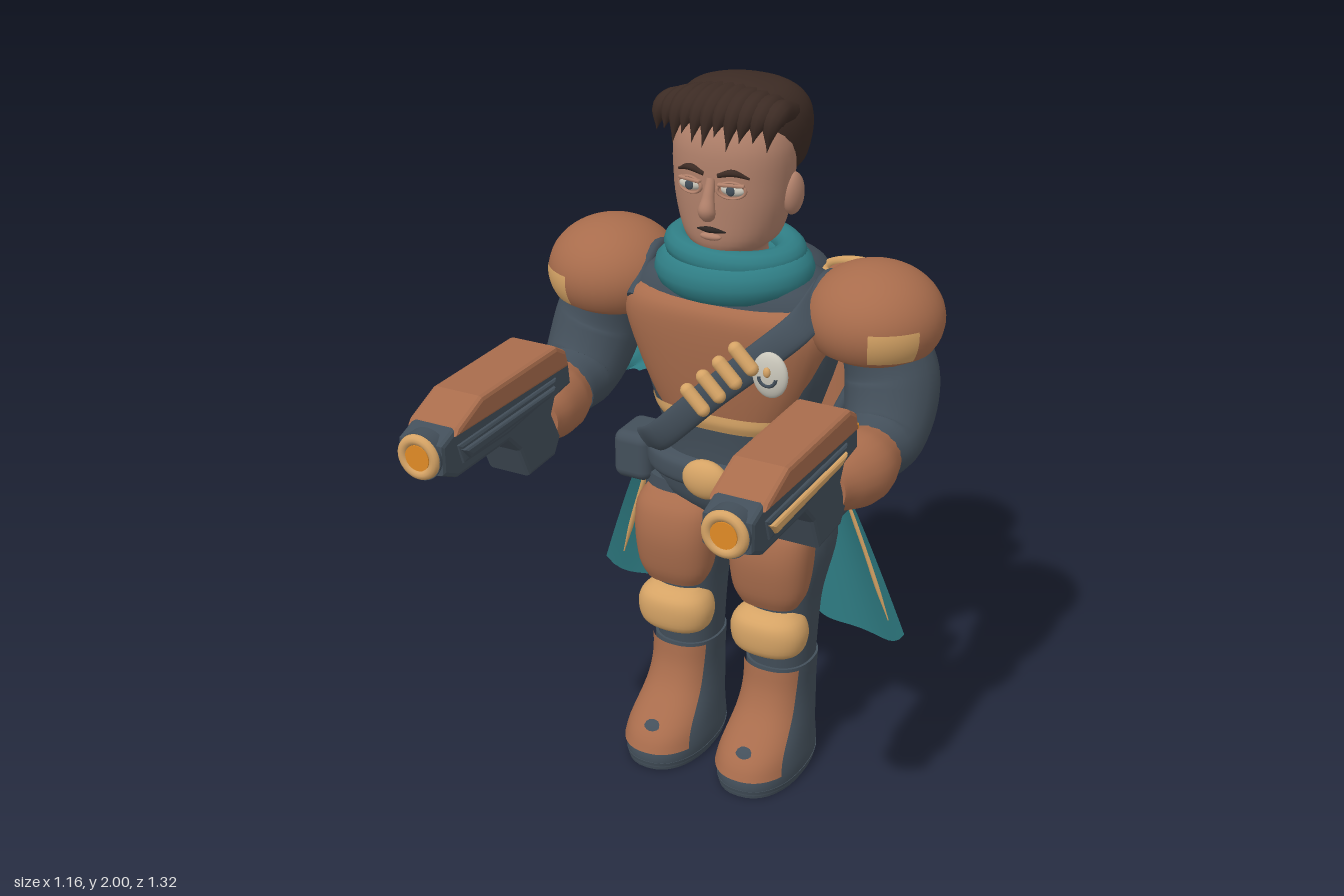
import * as THREE from 'three';
import { toCreasedNormals } from 'three/addons/utils/BufferGeometryUtils.js';
import { RoundedBoxGeometry } from 'three/addons/geometries/RoundedBoxGeometry.js';

const V = (x, y, z) => new THREE.Vector3(x, y, z);
const mat = (color, side = THREE.FrontSide) => new THREE.MeshStandardMaterial({ color, side });
const rust = mat(0xa86c4c), dark = mat(0x434f5a), gold = mat(0xd5a365), teal = mat(0x2f7d84, THREE.DoubleSide);
const skin = mat(0xb0806a), hair = mat(0x3c2b24), glow = mat(0xe08a25), silver = mat(0xc9c6ba), black = mat(0x2a2422);
const rustSheet = mat(0xa86c4c, THREE.DoubleSide), goldSheet = mat(0xd5a365, THREE.DoubleSide);

// Grid surface from f(u, v), with sharp edges kept
function surface(nu, nv, f) {
  const pos = [], idx = [];
  for (let i = 0; i <= nu; i++) for (let j = 0; j <= nv; j++) pos.push(...f(i / nu, j / nv).multiplyScalar(100).toArray());
  for (let i = 0; i < nu; i++) for (let j = 0; j < nv; j++) {
    const a = i * (nv + 1) + j, b = a + nv + 1;
    idx.push(a, a + 1, b, b, a + 1, b + 1);
  }
  const g = new THREE.BufferGeometry();
  g.setAttribute('position', new THREE.Float32BufferAttribute(pos, 3));
  g.setIndex(idx);
  return toCreasedNormals(g, 0.9).scale(0.01, 0.01, 0.01);
}

// Superellipse rings [y, centreZ, radiusX, radiusZ] stacked upwards; half < PI gives an open front plate
function loft(rings, n = 2.3, half = Math.PI) {
  const cols = [0, 1, 2, 3].map(k => new THREE.SplineCurve(rings.map((r, i) => new THREE.Vector2(i, r[k]))));
  const steps = (rings.length - 1) * 4, closed = half === Math.PI, extra = closed ? 1 : 0, rows = steps + 2 * extra;
  const pw = c => Math.sign(c) * Math.abs(c) ** (2 / n);
  return surface(rows, 36, (u, v) => {
    const i = Math.round(u * rows) - extra, t = THREE.MathUtils.clamp(i / steps, 0, 1);
    const [y, cz, rx, rz] = cols.map(c => c.getPoint(t).y), k = i < 0 || i > steps ? 0 : 1;
    const a = -Math.PI / 2 + half * (2 * v - 1);
    return V(k * rx * pw(Math.cos(a)), y, cz - k * rz * pw(Math.sin(a)));
  });
}

// Round sweep along points with a radius at each point
function sweep(pts, radii, sides = 20, steps = 20) {
  const c = new THREE.CatmullRomCurve3(pts.map(p => V(...p)));
  const r = new THREE.SplineCurve(radii.map((x, i) => new THREE.Vector2(i, x)));
  const fr = c.computeFrenetFrames(steps);
  return surface(steps + 2, sides, (u, v) => {
    const k = Math.round(u * (steps + 2)) - 1, i = THREE.MathUtils.clamp(k, 0, steps);
    const rad = k !== i ? 0 : Math.max(r.getPoint(i / steps).y, 0), a = v * Math.PI * 2;
    return c.getPoint(i / steps).addScaledVector(fr.normals[i], rad * Math.cos(a)).addScaledVector(fr.binormals[i], rad * Math.sin(a));
  });
}

const ball = (rx, ry, rz) => new THREE.SphereGeometry(1, 32, 20).scale(rx, ry, rz);
const box = (x, y, z, r = 0.015) => new RoundedBoxGeometry(x, y, z, 3, r);
const cyl = (a, b, h) => new THREE.CylinderGeometry(a, b, h, 32);
const ring = (R, r) => new THREE.TorusGeometry(R, r, 12, 40);

function add(parent, name, geo, material, x = 0, y = 0, z = 0, rx = 0, ry = 0, rz = 0) {
  const m = new THREE.Mesh(geo, material);
  m.name = name;
  m.position.set(x, y, z);
  m.rotation.set(rx, ry, rz);
  parent.add(m);
  return m;
}
function part(parent, name) {
  const g = new THREE.Group();
  g.name = name;
  parent.add(g);
  return g;
}

// Side profile of [z, y] points, extruded across x
function profile(pts, width) {
  const b = 0.012, g = new THREE.ExtrudeGeometry(new THREE.Shape(pts.map(p => new THREE.Vector2(...p))),
    { depth: width - 2 * b, bevelSize: b, bevelThickness: b, bevelOffset: -b, bevelSegments: 2 });
  return g.translate(0, 0, b - width / 2).rotateY(-Math.PI / 2);
}

function buildTorso(body) {
  const g = part(body, 'torso');
  add(g, 'suit', loft([[0.86, -0.25, 0.2, 0.14], [1, -0.25, 0.2, 0.145], [1.12, -0.25, 0.235, 0.16], [1.3, -0.245, 0.29, 0.17], [1.45, -0.25, 0.28, 0.16], [1.53, -0.24, 0.14, 0.11]], 2.5), dark);
  add(g, 'chestPlate', loft([[1.06, -0.2, 0.17, 0.1], [1.2, -0.2, 0.24, 0.125], [1.35, -0.2, 0.295, 0.14], [1.42, -0.2, 0.28, 0.13], [1.45, -0.21, 0.24, 0.09]], 2.7), rust);
  add(g, 'chestBand', loft([[1.075, -0.2, 0.185, 0.112], [1.1, -0.2, 0.203, 0.122], [1.125, -0.2, 0.214, 0.122]], 2.7, 1.5), goldSheet);
  add(g, 'hips', loft([[0.77, -0.26, 0.1, 0.1], [0.83, -0.26, 0.22, 0.14], [0.92, -0.25, 0.23, 0.15]], 2.4), dark);
  add(g, 'belt', loft([[0.9, -0.25, 0.24, 0.175], [0.915, -0.25, 0.25, 0.185], [0.955, -0.25, 0.25, 0.185], [0.97, -0.25, 0.24, 0.175]], 2.5), dark);
  add(g, 'buckle', ball(0.068, 0.057, 0.035), gold, 0, 0.94, -0.06);
  for (const s of [-1, 1]) add(g, 'beltPouch', box(0.115, 0.145, 0.15, 0.03), dark, s * 0.285, 0.9, -0.222);
  // Bandolier across the chest with cartridges and a badge
  const strap = new THREE.CatmullRomCurve3([V(-0.23, 0.97, -0.15), V(-0.15, 1.03, -0.08), V(0.02, 1.2, -0.045), V(0.17, 1.34, -0.05), V(0.25, 1.42, -0.1), V(0.26, 1.47, -0.23)]);
  const across = V(0.707, -0.707, 0);
  add(g, 'bandolier', surface(30, 20, (u, v) => {
    const a = -v * Math.PI * 2;
    return strap.getPoint(u).addScaledVector(across, 0.042 * Math.cos(a)).add(V(0, 0, 0.017 * Math.sin(a)));
  }), mat(0x434f5a, THREE.DoubleSide));
  for (let i = 0; i < 4; i++) add(g, 'cartridge', new THREE.CapsuleGeometry(0.019, 0.065, 6, 14), gold, 0.0 + i * 0.046, 1.2 + i * 0.048, 0, 0, 0, Math.PI / 4);
  add(g, 'badge', ball(0.05, 0.063, 0.02), silver, 0.2, 1.3, -0.03);
  add(g, 'badgeArc', new THREE.TorusGeometry(0.024, 0.005, 8, 20, Math.PI), dark, 0.2, 1.3, -0.012, 0, 0, Math.PI);
  add(g, 'badgePin', ball(0.01, 0.014, 0.008), gold, 0.2, 1.315, -0.009);
}

function buildHead(body) {
  const g = part(body, 'head');
  add(g, 'skull', loft([[1.5, -0.24, 0.09, 0.09], [1.56, -0.22, 0.08, 0.11], [1.6, -0.215, 0.12, 0.128], [1.67, -0.215, 0.145, 0.133], [1.75, -0.215, 0.157, 0.134], [1.85, -0.22, 0.158, 0.135], [1.93, -0.23, 0.12, 0.11]], 2.2), skin);
  add(g, 'nose', sweep([[0, 1.775, -0.085], [0, 1.73, -0.07], [0, 1.69, -0.062], [0, 1.675, -0.085]], [0.012, 0.016, 0.023, 0.012]), skin);
  add(g, 'mouth', sweep([[-0.04, 1.637, -0.09], [0, 1.642, -0.077], [0.04, 1.637, -0.09]], [0.003, 0.008, 0.003]), black);
  add(g, 'lowerLip', ball(0.03, 0.01, 0.012), skin, 0, 1.622, -0.084);
  for (const s of [-1, 1]) {
    add(g, 'ear', ball(0.026, 0.056, 0.042), skin, s * 0.155, 1.715, -0.24);
    add(g, 'eye', ball(0.034, 0.016, 0.015), silver, s * 0.058, 1.752, -0.09);
    add(g, 'iris', ball(0.012, 0.013, 0.006), dark, s * 0.058, 1.752, -0.077);
    add(g, 'eyeRim', ring(0.036, 0.005).scale(1, 0.58, 1), skin, s * 0.058, 1.752, -0.082, 0, s * 0.25);
    add(g, 'eyelid', box(0.07, 0.009, 0.014, 0.004), skin, s * 0.058, 1.766, -0.08, 0, s * 0.25);
    add(g, 'brow', sweep([[s * 0.02, 1.785, -0.083], [s * 0.06, 1.797, -0.083], [s * 0.1, 1.783, -0.1]], [0.006, 0.009, 0.003], 10), hair);
  }
  // Hair cap with swept fringe locks
  add(g, 'hairCap', loft([[1.765, -0.28, 0.14, 0.09], [1.8, -0.285, 0.162, 0.125], [1.88, -0.28, 0.175, 0.153], [1.94, -0.27, 0.162, 0.146], [1.98, -0.25, 0.12, 0.11], [1.998, -0.24, 0.04, 0.04]], 2.1), hair);
  for (let i = 0; i < 11; i++) {
    const t = i / 5 - 1, x = t * 0.155 - 0.012, drop = 1.865 + 0.018 * Math.sin(i * 2.4);
    add(g, 'fringeLock', sweep([[x * 0.75 + 0.03, 1.955 - 0.03 * t * t, -0.25], [x * 0.95 + 0.01, 1.965 - 0.025 * t * t, -0.155], [x, 1.935 - 0.015 * t * t, -0.1 - 0.03 * t * t], [x - 0.008, drop, -0.072 - 0.05 * t * t]], [0.028, 0.031, 0.025, 0], 10, 12), hair);
  }
}

function buildScarf(body) {
  const g = part(body, 'scarf');
  add(g, 'lowerWrap', ring(0.16, 0.06).rotateX(Math.PI / 2).scale(1, 0.95, 0.8), teal, 0, 1.5, -0.22, 0.06, 0, 0.04);
  add(g, 'upperWrap', ring(0.152, 0.042).rotateX(Math.PI / 2).scale(1, 0.9, 0.83), teal, 0, 1.555, -0.225, 0.05, 0, -0.05);
  const a = new THREE.CatmullRomCurve3([V(-0.18, 1.5, -0.38), V(-0.3, 1.3, -0.47), V(-0.48, 1.12, -0.54), V(-0.593, 0.955, -0.49)]);
  const b = new THREE.CatmullRomCurve3([V(-0.06, 1.49, -0.38), V(-0.16, 1.25, -0.435), V(-0.28, 1.1, -0.42), V(-0.41, 1.03, -0.43)]);
  add(g, 'scarfTail', surface(24, 12, (u, v) => a.getPoint(u).lerp(b.getPoint(u), v).add(V(0, 0, 0.025 * u * Math.sin(v * 6.28)))), teal);
}

function buildPack(body) {
  const g = part(body, 'backpack');
  add(g, 'packShell', loft([[0.98, -0.45, 0.1, 0.12], [1.05, -0.46, 0.14, 0.16], [1.3, -0.465, 0.165, 0.17], [1.42, -0.46, 0.15, 0.15], [1.48, -0.44, 0.09, 0.1]], 2.4), dark);
  for (let i = 0; i < 4; i++) add(g, 'ventSlat', sweep([[-0.065, 1.105 + i * 0.066, -0.645], [0, 1.105 + i * 0.066, -0.654], [0.065, 1.105 + i * 0.066, -0.645]], [0.002, 0.008, 0.002], 10), gold);
  for (const s of [-1, 1]) {
    const t = part(g, 'thruster');
    t.position.set(s * 0.203, 0, -0.522);
    add(t, 'tank', cyl(0.076, 0.09, 0.49), rust, 0, 1.175);
    add(t, 'topRing', ring(0.072, 0.014), gold, 0, 1.42, 0, Math.PI / 2);
    add(t, 'nozzle', cyl(0.095, 0.088, 0.03), dark, 0, 0.922);
    add(t, 'nozzleRing', ring(0.055, 0.008), glow, 0, 0.908, 0, Math.PI / 2);
    add(t, 'nozzleCore', cyl(0.045, 0.045, 0.006), black, 0, 0.905);
    add(g, 'packStrap', sweep([[s * 0.25, 1.4, -0.12], [s * 0.25, 1.5, -0.25], [s * 0.27, 1.4, -0.42], [s * 0.28, 1.2, -0.44], [s * 0.22, 1.02, -0.4]], [0.018, 0.018, 0.018, 0.018, 0.018], 12, 24), dark);
  }
}

function buildLeg(body, s) {
  const g = part(body, s > 0 ? 'leftLeg' : 'rightLeg');
  g.position.x = s * 0.148;
  add(g, 'trouser', loft([[0.3, -0.262, 0.09, 0.1], [0.45, -0.262, 0.096, 0.112], [0.55, -0.265, 0.105, 0.12], [0.72, -0.275, 0.138, 0.133], [0.86, -0.265, 0.12, 0.12]]), dark);
  add(g, 'thighPlate', loft([[0.55, -0.17, 0.085, 0.055], [0.6, -0.17, 0.108, 0.075], [0.7, -0.175, 0.12, 0.092], [0.78, -0.18, 0.118, 0.08], [0.825, -0.19, 0.095, 0.05]], 2.5), rust);
  add(g, 'kneePad', loft([[0.385, -0.175, 0.07, 0.05], [0.41, -0.17, 0.102, 0.075], [0.46, -0.17, 0.113, 0.083], [0.5, -0.17, 0.1, 0.075], [0.525, -0.175, 0.07, 0.05]]), gold);
  const boot = [[0.01, -0.172, 0.118, 0.195], [0.05, -0.172, 0.12, 0.195], [0.1, -0.185, 0.113, 0.18], [0.18, -0.235, 0.1, 0.135], [0.25, -0.255, 0.095, 0.115], [0.335, -0.26, 0.098, 0.108]];
  add(g, 'boot', loft(boot), dark);
  add(g, 'sole', loft([[0, -0.172, 0.115, 0.192], [0.025, -0.172, 0.121, 0.198]]), dark);
  add(g, 'shinPlate', loft(boot.slice(1).map(([y, z, a, b]) => [Math.min(y + 0.01, 0.33), z, a + 0.006, b + 0.009]), 2.3, 0.95), rustSheet);
  add(g, 'toeCap', ball(0.078, 0.062, 0.075), dark, 0, 0.085, -0.062, 0.3);
}

function buildCoatTail(body, s) {
  const g = part(body, 'coatTail');
  const at = (u, v) => {
    const t = 1 - u, inner = 0.1 + 0.07 * t, outer = 0.27 + 0.215 * t ** 0.85;
    const y = 0.96 - t * (0.585 - 0.06 * Math.abs(2 * v - 1) ** 5);
    return V(s * (inner + (outer - inner) * v), y, -0.37 - 0.03 * t + 0.09 * v ** 2 * (1 - 0.4 * t) - 0.025 * Math.sin(v * 3.14));
  };
  add(g, 'panel', surface(20, 16, at), teal);
  const line = [0.12, 0.3, 0.5, 0.7, 0.86].map(u => at(u, 0.89).toArray());
  add(g, 'goldTrim', sweep(line, [0.002, 0.008, 0.008, 0.008, 0.002], 8), gold);
}

function buildArm(body, s) {
  const g = part(body, s > 0 ? 'leftArm' : 'rightArm');
  const pad = [0.182, 0.145, 0.183];
  add(g, 'shoulderPad', new THREE.SphereGeometry(1, 36, 24, 0, Math.PI * 2, 0, 2.1).scale(...pad), rustSheet, s * 0.385, 1.415, -0.262);
  add(g, 'padUnderside', ball(0.15, 0.05, 0.15), rust, s * 0.385, 1.35, -0.262);
  add(g, 'padInlay', new THREE.SphereGeometry(1.012, 16, 10, Math.PI / 2 + (s > 0 ? 0.3 : -1.05), 0.75, 1.45, 0.6).scale(...pad), goldSheet, s * 0.385, 1.415, -0.262);
  add(g, 'sleeve', sweep([[s * 0.4, 1.38, -0.265], [s * 0.44, 1.25, -0.265], [s * 0.455, 1.13, -0.19], [s * 0.445, 1.105, -0.08]], [0.11, 0.125, 0.112, 0.085]), dark);
  add(g, 'forearm', sweep([[s * 0.455, 1.105, -0.11], [s * 0.45, 1.1, -0.03], [s * 0.43, 1.1, 0.05], [s * 0.42, 1.1, 0.12]], [0.085, 0.102, 0.09, 0.068]), rust);
  add(g, 'forearmFin', box(0.012, 0.03, 0.09, 0.005), glow, s * 0.43, 1.195, -0.005, 0.1, s * -0.2);
  // Blaster
  const w = part(g, 'blaster');
  w.position.x = s * 0.415;
  add(w, 'frame', profile([[0.04, 1.19], [0.12, 1.18], [0.14, 1.14], [0.1, 1.06], [0.13, 1.015], [0.26, 1.01], [0.3, 1.1], [0.35, 1.15], [0.58, 1.15], [0.64, 1.18], [0.64, 1.26], [0.57, 1.285], [0.05, 1.265]], 0.13), dark);
  add(w, 'topCover', profile([[0.06, 1.25], [0.59, 1.265], [0.575, 1.285], [0.47, 1.327], [0.12, 1.327], [0.075, 1.3]], 0.148), rust);
  add(w, 'fist', box(0.125, 0.13, 0.15, 0.04), dark, 0, 1.09, 0.19);
  for (const k of [-1, 1]) {
    add(w, 'sidePanel', profile([[0.16, 1.195], [0.36, 1.175], [0.56, 1.18], [0.58, 1.24], [0.12, 1.24]], 0.03), dark, k * 0.058);
    add(w, 'sideStripe', profile([[0.17, 1.2], [0.54, 1.19], [0.57, 1.225], [0.14, 1.225]], 0.026), k === s ? gold : dark, k * 0.07);
  }
  add(w, 'muzzle', cyl(0.062, 0.062, 0.04), dark, 0, 1.222, 0.625, Math.PI / 2);
  add(w, 'muzzleRing', ring(0.046, 0.014), gold, 0, 1.222, 0.645);
  add(w, 'muzzleGlow', cyl(0.034, 0.034, 0.01), glow, 0, 1.222, 0.65, Math.PI / 2);
}

export function createModel() {
  const root = new THREE.Group();
  root.name = 'armouredFigure';
  const body = part(root, 'body');
  body.position.x = 0.01;
  [buildTorso, buildHead, buildScarf, buildPack].forEach(f => f(body));
  for (const s of [-1, 1]) [buildLeg, buildCoatTail, buildArm].forEach(f => f(body, s));
  return root;
}
